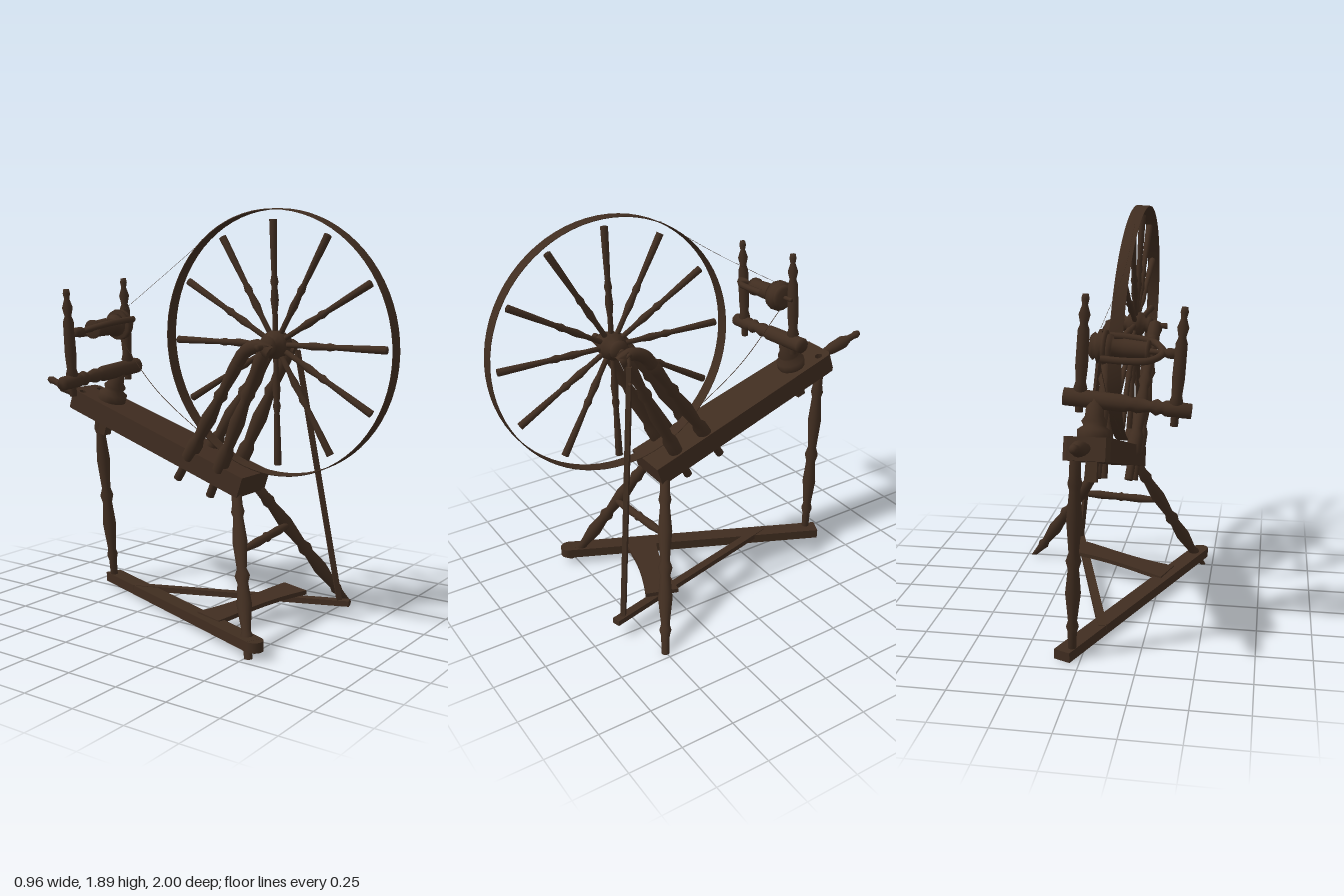
import * as THREE from 'three';

export function createModel() {
  const root = new THREE.Group();
  root.name = 'spinningWheel';
  const wood = new THREE.MeshStandardMaterial({ color: 0x402d20 });
  wood.name = 'dark wood';
  const V = (x, y, z) => new THREE.Vector3(x, y, z);
  const UP = V(0, 1, 0);

  function add(name, geometry, parent = root) {
    const mesh = new THREE.Mesh(geometry, wood);
    mesh.name = name;
    parent.add(mesh);
    return mesh;
  }
  // Lathe-turned part from a to b; profile pairs are [fraction of length, radius]
  function turned(name, a, b, profile, parent = root) {
    const len = a.distanceTo(b);
    const pts = [[0, 0], ...profile, [1, 0]].map(([t, r]) => new THREE.Vector2(r, t * len));
    const geometry = new THREE.LatheGeometry(pts, 14);
    geometry.applyQuaternion(new THREE.Quaternion().setFromUnitVectors(UP, b.clone().sub(a).normalize()));
    geometry.translate(a.x, a.y, a.z);
    return add(name, geometry, parent);
  }
  // Turned leg whose foot is cut level with the ground
  function footLeg(name, a, b, profile) {
    const p = turned(name, a, b, profile).geometry.attributes.position;
    for (let i = 0; i < p.count; i++) p.setY(i, Math.max(0, p.getY(i)));
  }
  // Rectangular stick from a to b, its w side kept level
  function beam(name, a, b, w, h) {
    const mesh = add(name, new THREE.BoxGeometry(w, h, a.distanceTo(b)));
    mesh.position.copy(a).lerp(b, 0.5);
    mesh.lookAt(b);
    return mesh;
  }
  function tube(name, points, r, segments = 24, parent = root) {
    return add(name, new THREE.TubeGeometry(new THREE.CatmullRomCurve3(points), segments, r, 8), parent);
  }

  const baluster = [[0, 0.018], [0.1, 0.02], [0.13, 0.028], [0.16, 0.02], [0.3, 0.034], [0.42, 0.024],
    [0.46, 0.034], [0.5, 0.022], [0.66, 0.034], [0.8, 0.023], [0.83, 0.031], [0.87, 0.024], [1, 0.024]];
  const maidenProfile = [[0, 0.017], [0.16, 0.017], [0.2, 0.03], [0.26, 0.022], [0.4, 0.027], [0.7, 0.025],
    [0.75, 0.016], [0.83, 0.025], [0.91, 0.012], [0.96, 0.017], [1, 0.013]];

  // Sloping bed, tapered to the back, with two peg holes
  const bedLen = 1.09, bedT = 0.098;
  const bedShape = new THREE.Shape();
  bedShape.moveTo(-0.117, 0);
  bedShape.lineTo(0.117, 0);
  bedShape.lineTo(0.098, bedLen - 0.02);
  bedShape.lineTo(0.08, bedLen);
  bedShape.lineTo(-0.08, bedLen);
  bedShape.lineTo(-0.098, bedLen - 0.02);
  bedShape.closePath();
  for (const x of [-0.07, 0.06]) {
    const hole = new THREE.Path();
    hole.absarc(x, bedLen - 0.055, 0.019, 0, Math.PI * 2, true);
    bedShape.holes.push(hole);
  }
  const bed = add('bed', new THREE.ExtrudeGeometry(bedShape, { depth: bedT, bevelEnabled: false, curveSegments: 8 }));
  bed.position.set(-0.048, 0.607, 0.26);
  bed.rotation.x = -Math.PI / 2 + 0.313;
  turned('bedHandle', V(-0.045, 0.985, -0.74), V(-0.04, 1.057, -1),
    [[0, 0.022], [0.2, 0.022], [0.35, 0.03], [0.6, 0.033], [0.75, 0.018], [0.85, 0.016], [0.93, 0.02], [1, 0.013]]);

  // Three legs and the stretcher
  footLeg('leftFootLeg', V(0.467, -0.01, 0.503), V(0.02, 0.66, 0.22), baluster);
  footLeg('rightFootLeg', V(-0.448, -0.01, 0.513), V(-0.11, 0.66, 0.22), baluster);
  turned('backLeg', V(0.04, 0.03, -0.64), V(0.005, 0.98, -0.71), baluster);
  turned('legStretcher', V(-0.225, 0.4, 0.35), V(0.175, 0.425, 0.33),
    [[0, 0.013], [0.25, 0.021], [0.45, 0.018], [0.48, 0.024], [0.52, 0.018], [0.75, 0.021], [1, 0.013]]);

  // Ground bar with a rounded front end, treadle arm and tapering foot board
  beam('groundBar', V(0.078, 0.025, -0.68), V(-0.435, 0.059, 0.535), 0.08, 0.046);
  const barEnd = add('groundBarEnd', new THREE.CylinderGeometry(0.04, 0.04, 0.045, 20));
  barEnd.position.set(-0.434, 0.059, 0.533);
  beam('treadleArm', V(-0.06, 0.045, -0.42), V(0.238, 0.08, 0.63), 0.04, 0.026);
  const board = new THREE.BoxGeometry(0.52, 0.02, 0.16, 12, 1, 1);
  const bp = board.attributes.position;
  for (let i = 0; i < bp.count; i++) {
    const t = bp.getX(i) / 0.52 + 0.5;
    bp.setY(i, bp.getY(i) + 0.045 * THREE.MathUtils.smoothstep(t, -0.2, 1.1));
    bp.setZ(i, bp.getZ(i) * (1 - 0.25 * Math.sin(Math.PI * t)));
  }
  board.computeVertexNormals();
  const treadle = add('treadleBoard', board);
  treadle.position.set(-0.045, 0.066, 0.275);
  treadle.rotation.y = -0.32;

  // Wheel: tilted rim, turned hub and twelve spokes, axis along local y
  const wheel = new THREE.Group();
  wheel.name = 'wheel';
  wheel.position.set(-0.092, 1.301, 0.415);
  wheel.quaternion.setFromUnitVectors(UP, V(1, 0.052, 0.026).normalize());
  root.add(wheel);
  const rimProfile = [[0.581, -0.031], [0.585, -0.031], [0.585, 0.031], [0.581, 0.031], [0.581, -0.031]]
    .map(([r, y]) => new THREE.Vector2(r, y));
  add('rim', new THREE.LatheGeometry(rimProfile, 72), wheel);
  turned('hub', V(0, -0.085, 0), V(0, 0.085, 0),
    [[0, 0.03], [0.12, 0.045], [0.22, 0.032], [0.32, 0.06], [0.5, 0.064], [0.68, 0.06], [0.78, 0.032], [0.88, 0.045], [1, 0.03]], wheel);
  const spokeProfile = [[0, 0.012], [0.2, 0.012], [0.3, 0.018], [0.42, 0.013], [0.46, 0.018], [0.52, 0.012], [0.75, 0.015], [1, 0.017]];
  const upInWheel = UP.clone().applyQuaternion(wheel.quaternion.clone().invert());
  const startAngle = Math.atan2(upInWheel.z, upInWheel.x);
  for (let i = 0; i < 12; i++) {
    const a = startAngle + i * Math.PI / 6;
    const d = V(Math.cos(a), 0, Math.sin(a));
    turned('spoke', d.clone().multiplyScalar(0.045), d.clone().multiplyScalar(0.54), spokeProfile, wheel);
  }

  // Axle, crank and the long rod down to the treadle
  turned('axle', V(-0.25, 1.295, 0.418), V(0.06, 1.303, 0.412), [[0, 0.014], [1, 0.014]]);
  tube('crank', [V(0.05, 1.302, 0.412), V(0.07, 1.27, 0.42), V(0.082, 1.2, 0.435), V(0.11, 1.19, 0.437)], 0.009);
  beam('treadleRod', V(0.227, 0.07, 0.585), V(0.08, 1.265, 0.425), 0.022, 0.024);

  // Two pairs of wheel posts, bridged over the axle, with pegs below the bed
  const postProfile = [[0, 0.02], [0.16, 0.02], [0.18, 0.034], [0.3, 0.036], [0.34, 0.025], [0.5, 0.035],
    [0.64, 0.022], [0.68, 0.033], [0.73, 0.022], [0.88, 0.03], [1, 0.028]];
  for (const [xBottom, xTop] of [[-0.13, -0.19], [0.02, 0.03]]) {
    turned('frontWheelPost', V(xBottom, 0.59, 0.09), V(xTop, 1.31, 0.43), postProfile);
    turned('backWheelPost', V(xBottom, 0.65, -0.095), V(xTop, 1.26, 0.305), postProfile);
    tube('axleBridge', [V(xTop, 1.22, 0.28), V(xTop, 1.275, 0.325), V(xTop, 1.298, 0.39), V(xTop, 1.27, 0.45)], 0.031);
  }

  // Tension block standing on the bed, with its tail below
  turned('tensionBase', V(-0.045, 0.93, -0.585), V(-0.045, 1.14, -0.52),
    [[0, 0.05], [0.1, 0.06], [0.25, 0.07], [0.4, 0.07], [0.48, 0.045], [0.56, 0.055], [0.66, 0.04], [1, 0.035]]);
  beam('tensionTail', V(-0.045, 0.805, -0.625), V(-0.045, 0.95, -0.58), 0.05, 0.045);
  turned('crossBeam', V(-0.45, 1.1, -0.52), V(0.09, 1.145, -0.52),
    [[0, 0.032], [0.2, 0.034], [0.23, 0.024], [0.27, 0.036], [0.32, 0.022], [0.42, 0.035], [0.47, 0.028], [0.52, 0.037], [1, 0.038]]);
  turned('outerMaiden', V(-0.378, 1.035, -0.52), V(-0.415, 1.535, -0.52), maidenProfile);
  turned('innerMaiden', V(0.025, 1.08, -0.52), V(-0.006, 1.58, -0.52), maidenProfile);

  // Flyer: spindle, bobbin, whorl and U-shaped arms, axis along local y
  const flyer = new THREE.Group();
  flyer.name = 'flyer';
  flyer.position.set(-0.39, 1.335, -0.495);
  flyer.quaternion.setFromUnitVectors(UP, V(1, 0.07, 0).normalize());
  root.add(flyer);
  turned('spindle', V(0, 0, 0), V(0, 0.42, 0), [[0, 0.022], [0.1, 0.022], [0.16, 0.012], [1, 0.01]], flyer);
  turned('bobbin', V(0, 0.12, 0), V(0, 0.3, 0),
    [[0, 0.045], [0.08, 0.045], [0.1, 0.038], [0.6, 0.042], [0.86, 0.036], [0.88, 0.055], [1, 0.055]], flyer);
  turned('whorl', V(0, 0.3, 0), V(0, 0.37, 0),
    [[0, 0.07], [0.2, 0.075], [0.35, 0.055], [0.5, 0.074], [0.65, 0.05], [0.8, 0.06], [1, 0.045]], flyer);
  // local -x points up, so the front arm sits a little higher than the back one
  const arm = [[-0.105, 0.31], [-0.103, 0.2], [-0.08, 0.11], [0, 0.065], [0.08, 0.11], [0.103, 0.2], [0.105, 0.31]]
    .map(([r, y]) => V(-0.3 * r, y, 0.95 * r));
  tube('flyerArms', arm, 0.015, 36, flyer);

  // Thin drive cord between wheel and whorl
  tube('lowerCord', [V(-0.07, 0.79, 0.13), V(-0.07, 0.86, 0.01), V(-0.065, 1.05, -0.27), V(-0.06, 1.29, -0.5)], 0.0015);
  tube('upperCord', [V(-0.12, 1.82, 0.14), V(-0.11, 1.63, -0.14), V(-0.06, 1.43, -0.47)], 0.0008);

  return root;
}
